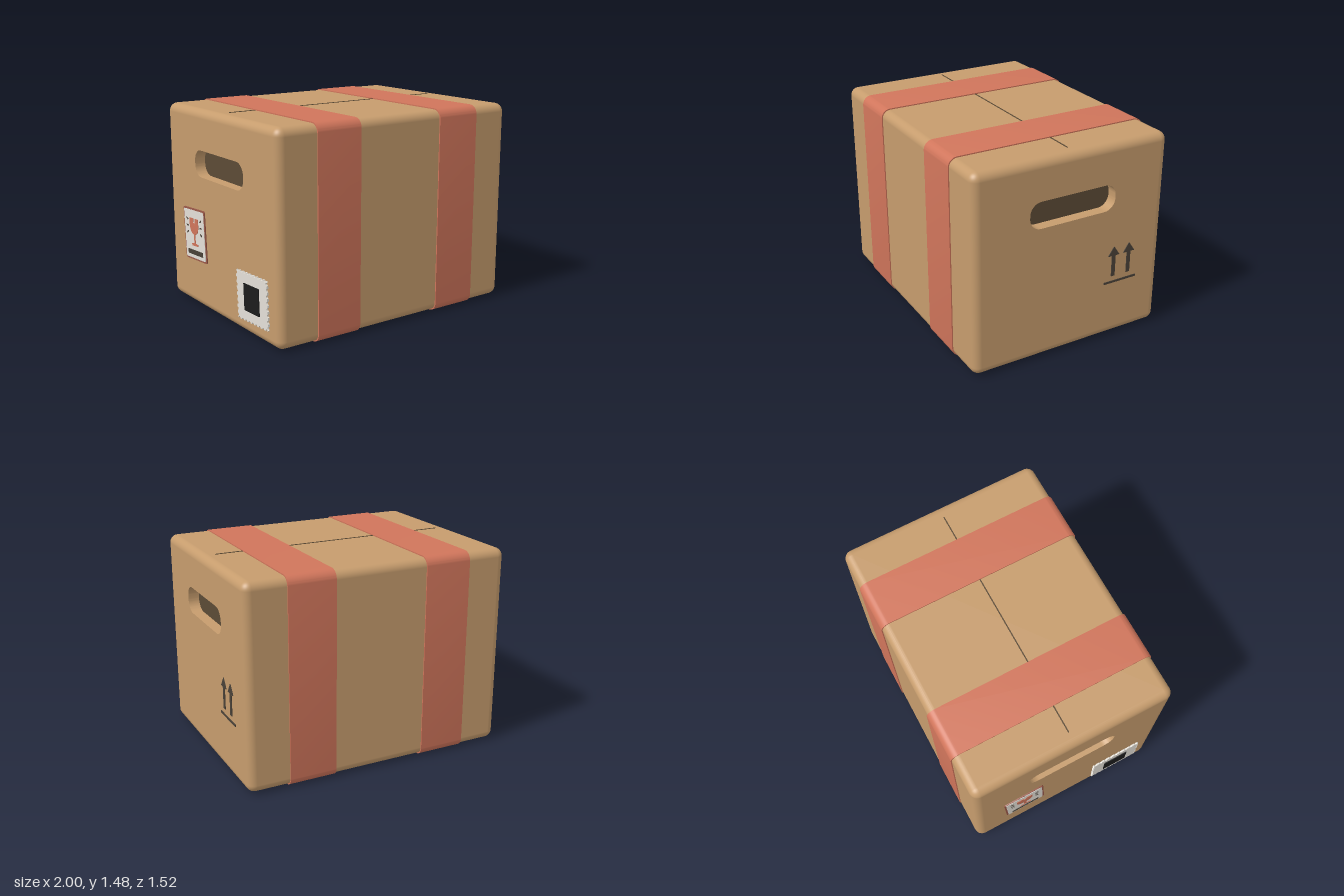
import * as THREE from 'three';
import { RoundedBoxGeometry } from 'three/addons/geometries/RoundedBoxGeometry.js';
import { toCreasedNormals } from 'three/addons/utils/BufferGeometryUtils.js';

const mat = (color) => new THREE.MeshStandardMaterial({ color });
const CARD = mat(0xc69c6d), TAPE = mat(0xd0755b), DARK = mat(0x5c4b36);
const INK = mat(0x4a4238), PAPER = mat(0xe4e0d8), BLACK = mat(0x1c1c1c), BORDER = mat(0x9c5a4a);

// Box: size, centre and edge radius
const W = 1.977, H = 1.463, D = 1.5, CX = 0.0065, CY = 0.74, R = 0.06;
const POCKET = 0.08;

function add(parent, name, geometry, material, x = 0, y = 0, z = 0) {
  const mesh = new THREE.Mesh(geometry, material);
  mesh.name = name;
  mesh.position.set(x, y, z);
  parent.add(mesh);
  return mesh;
}

function roundRect(w, h, r, x = 0, y = 0, Type = THREE.Shape) {
  const a = w / 2 - r, b = h / 2 - r, q = Math.PI / 2;
  const s = new Type();
  s.absarc(x + a, y + b, r, 0, q);
  s.absarc(x - a, y + b, r, q, 2 * q);
  s.absarc(x - a, y - b, r, 2 * q, 3 * q);
  s.absarc(x + a, y - b, r, 3 * q, 4 * q);
  s.closePath();
  return s;
}

const polygon = (pts) => new THREE.Shape(pts.map(([x, y]) => new THREE.Vector2(x, y)));

const extrude = (shape, depth) => toCreasedNormals(
  new THREE.ExtrudeGeometry(shape, { depth, bevelEnabled: false, curveSegments: 8 }), 0.5);

// Rounded box without its two flat end faces, which carry the handle cut-outs
function openBox() {
  const box = new RoundedBoxGeometry(W, H, D, 5, R);
  const p = box.attributes.position, n = box.attributes.normal;
  const pos = [], nor = [];
  for (let i = 0; i < p.count; i += 3) {
    const corners = [i, i + 1, i + 2];
    if (corners.every((k) => Math.abs(p.getX(k)) > W / 2 - 1e-5)) continue;
    for (const k of corners) {
      pos.push(p.getX(k), p.getY(k), p.getZ(k));
      nor.push(n.getX(k), n.getY(k), n.getZ(k));
    }
  }
  const g = new THREE.BufferGeometry();
  g.setAttribute('position', new THREE.Float32BufferAttribute(pos, 3));
  g.setAttribute('normal', new THREE.Float32BufferAttribute(nor, 3));
  return g;
}

// Group on an end of the box: local z points outward, local y up
function endGroup(side, name, y, z, tilt = 0) {
  const g = new THREE.Group();
  g.name = name;
  g.position.set(CX + side * W / 2, y, z);
  g.rotation.set(0, side * Math.PI / 2, tilt);
  return g;
}

// Rectangle with a row of round bites along each side
function stampShape(w, h) {
  const s = new THREE.Shape();
  for (let k = 0; k < 4; k++) {
    const a = k * Math.PI / 2, c = Math.cos(a), d = Math.sin(a);
    const len = k % 2 ? h : w, off = k % 2 ? w / 2 : h / 2, n = k % 2 ? 8 : 9;
    for (let i = 0; i < n; i++) {
      const t = ((i + 0.5) / n - 0.5) * len;
      s.absarc(c * t + d * off, d * t - c * off, 0.012, a + Math.PI, a, true);
    }
  }
  s.closePath();
  return s;
}

export function createModel() {
  const model = new THREE.Group();
  model.name = 'cardboardBox';

  add(model, 'boxBody', openBox(), CARD, CX, CY, 0);

  // End panels with recessed hand holds
  for (const side of [1, -1]) {
    const end = endGroup(side, side > 0 ? 'leftEnd' : 'rightEnd', CY, 0);
    const a = D / 2 - R, b = H / 2 - R;
    const panel = polygon([[-a, -b], [a, -b], [a, b], [-a, b]]);
    panel.holes.push(roundRect(0.667, 0.193, 0.085, 0, 0.349, THREE.Path));
    add(end, 'endPanel', extrude(panel, POCKET), CARD, 0, 0, -POCKET);
    const floor = new THREE.ShapeGeometry(roundRect(0.69, 0.215, 0.09, 0, 0.349));
    add(end, 'handleRecess', floor, DARK, 0, 0, -POCKET + 0.001);
    model.add(end);
  }

  // Lid seam
  add(model, 'lidSeam', new THREE.BoxGeometry(1.78, 0.008, 0.008), DARK, CX, 1.471, 0);

  // Two bands of tape around the box
  for (const [x0, x1] of [[-0.68, -0.335], [0.35, 0.695]]) {
    const ring = roundRect(1.516, 1.479, 0.067);
    ring.holes.push(roundRect(D - 0.004, H - 0.004, R, 0, 0, THREE.Path));
    const band = add(model, 'tapeBand', extrude(ring, x1 - x0), TAPE, x0, CY, 0);
    band.rotation.y = Math.PI / 2;
  }

  // This-way-up mark
  const up = endGroup(1, 'thisWayUpMark', 0, 0);
  const arrow = polygon([[-0.015, 0.48], [0.015, 0.48], [0.015, 0.64], [0.047, 0.64],
    [0, 0.71], [-0.047, 0.64], [-0.015, 0.64]]);
  for (const x of [0.347, 0.473]) add(up, 'arrow', extrude(arrow, 0.005), INK, x);
  add(up, 'arrowBar', new THREE.BoxGeometry(0.27, 0.016, 0.005), INK, 0.41, 0.434, 0.0025);
  model.add(up);

  // Care label with a broken glass
  const label = endGroup(-1, 'careLabel', 0.55, -0.36, 0.06);
  add(label, 'labelBorder', extrude(roundRect(0.315, 0.385, 0.015), 0.008), BORDER);
  add(label, 'labelPaper', extrude(roundRect(0.29, 0.36, 0.01), 0.011), PAPER);
  const glass = new THREE.Shape();
  glass.moveTo(-0.045, -0.085);
  glass.lineTo(0.045, -0.085);
  glass.lineTo(0.045, -0.07);
  glass.lineTo(0.009, -0.065);
  glass.lineTo(0.009, 0);
  glass.bezierCurveTo(0.06, 0.01, 0.07, 0.05, 0.062, 0.12);
  glass.lineTo(0.02, 0.12);
  glass.lineTo(0.008, 0.085);
  glass.lineTo(0.022, 0.065);
  glass.lineTo(-0.012, 0.09);
  glass.lineTo(-0.005, 0.12);
  glass.lineTo(-0.062, 0.12);
  glass.bezierCurveTo(-0.07, 0.05, -0.06, 0.01, -0.009, 0);
  glass.lineTo(-0.009, -0.065);
  glass.lineTo(-0.045, -0.07);
  add(label, 'glassSign', extrude(glass, 0.014), TAPE);
  for (const s of [1, -1]) {
    for (const t of [-0.5, 0, 0.5]) {
      const dash = add(label, 'crackDash', new THREE.BoxGeometry(0.026, 0.01, 0.004), INK,
        s * 0.1, 0.06 + t * 0.1, 0.012);
      dash.rotation.z = s * t;
    }
  }
  add(label, 'labelStrip', new THREE.BoxGeometry(0.22, 0.035, 0.004), INK, 0, -0.135, 0.012);
  model.add(label);

  // Stamp with a dark picture
  const stamp = endGroup(-1, 'stamp', 0.283, 0.432, 0.04);
  add(stamp, 'stampPaper', extrude(stampShape(0.392, 0.345), 0.012), PAPER);
  add(stamp, 'stampPicture', new THREE.BoxGeometry(0.19, 0.19, 0.018), BLACK, 0, 0, 0.009);
  model.add(stamp);

  return model;
}
